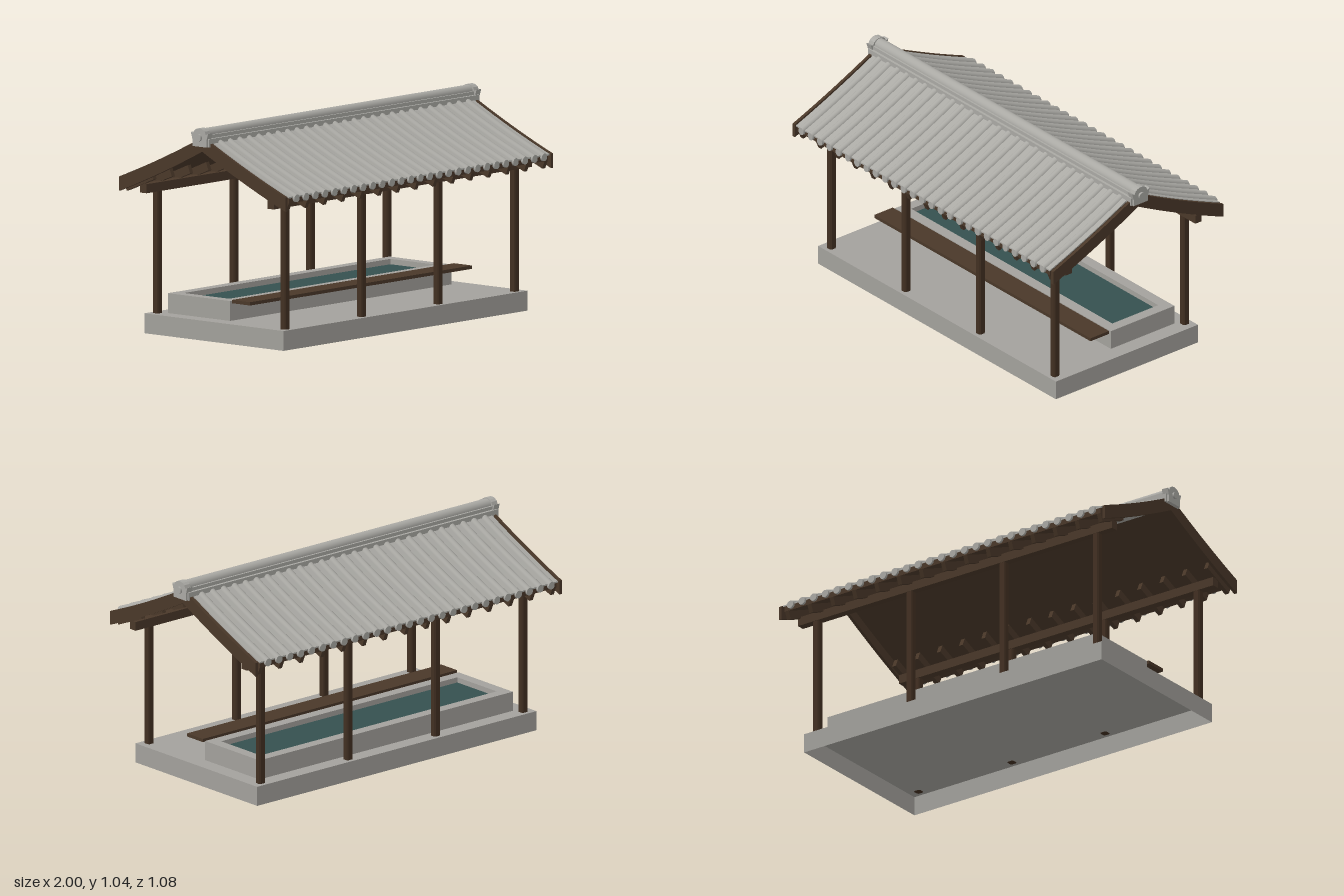
import * as THREE from 'three';

const mat = (name, color, extra = {}) => Object.assign(new THREE.MeshStandardMaterial({ color, ...extra }), { name });

// Height of the gently sagging roof surface at distance z from the ridge
const roofY = (z) => 1.0 - 0.513 * Math.abs(z) + 0.114 * z * z;

export function createModel() {
  const stone = mat('stone', 0xa3a19c, { side: THREE.DoubleSide });
  const tile = mat('roofTile', 0xaaa9a4);
  const wood = mat('wood', 0x4a3829);
  const postWood = mat('postWood', 0x423022);
  const water = mat('water', 0x35504f);

  const model = new THREE.Group();
  model.name = 'washhouse';
  const group = (name, parent = model) => {
    const g = new THREE.Group();
    g.name = name;
    parent.add(g);
    return g;
  };
  const add = (name, geo, material, x = 0, y = 0, z = 0, parent = model) => {
    const m = new THREE.Mesh(geo, material);
    m.name = name;
    m.position.set(x, y, z);
    parent.add(m);
    return m;
  };
  const shapeOf = (pts) => new THREE.Shape(pts.map(([a, b]) => new THREE.Vector2(a, b)));
  // Extrude a [z, y] outline along x, centred on x = 0
  const alongX = (pts, width) =>
    new THREE.ExtrudeGeometry(shapeOf(pts), { depth: width, bevelEnabled: false })
      .rotateY(-Math.PI / 2)
      .translate(width / 2, 0, 0);
  // Gable-shaped outline between two offsets from the roof surface
  const gable = (low, high, reach, n = 12) => {
    const pts = [];
    for (let i = -n; i <= n; i++) pts.push([(i / n) * reach, roofY((i / n) * reach) + low]);
    for (let i = n; i >= -n; i--) pts.push([(i / n) * reach, roofY((i / n) * reach) + high]);
    return pts;
  };

  // Plinth, open underneath
  const plinth = new THREE.BoxGeometry(1.77, 0.096, 0.886);
  const index = Array.from(plinth.index.array);
  index.splice(18, 6);
  plinth.setIndex(index);
  plinth.clearGroups();
  add('plinth', plinth, stone, 0, 0.048, 0);

  // Stone basin with water
  const rect = (w, d, Type) => {
    const s = new Type();
    s.moveTo(-w / 2, -d / 2).lineTo(w / 2, -d / 2).lineTo(w / 2, d / 2).lineTo(-w / 2, d / 2).closePath();
    return s;
  };
  const rim = rect(1.606, 0.396, THREE.Shape);
  rim.holes.push(rect(1.496, 0.286, THREE.Path));
  const basinGeo = new THREE.ExtrudeGeometry(rim, { depth: 0.096, bevelEnabled: false }).rotateX(-Math.PI / 2);
  add('basin', basinGeo, stone, 0, 0.096, -0.167);
  add('waterSurface', new THREE.BoxGeometry(1.496, 0.006, 0.286), water, 0, 0.163, -0.167);

  // Plank in front of the basin
  add('plank', new THREE.BoxGeometry(1.61, 0.016, 0.115), wood, 0, 0.191, 0.102);

  // Chamfered posts and the wall plates they carry
  const h = 0.018, c = 0.012;
  const postGeo = new THREE.ExtrudeGeometry(
    shapeOf([[h, -c], [h, c], [c, h], [-c, h], [-h, c], [-h, -c], [-c, -h], [c, -h]]),
    { depth: 0.6, bevelEnabled: false }
  ).rotateX(-Math.PI / 2);
  const posts = group('posts');
  for (const z of [-0.405, 0.405]) {
    for (const x of [-0.832, -0.277, 0.277, 0.832]) add('post', postGeo, postWood, x, 0.095, z, posts);
    add('wallPlate', new THREE.BoxGeometry(1.87, 0.044, 0.04), wood, 0, 0.709, z);
  }

  // Roof deck, tile bed and barge boards
  const roof = group('roof');
  add('roofDeck', alongX(gable(-0.036, -0.009, 0.525), 1.88), wood, 0, 0, 0, roof);
  add('tileBed', alongX(gable(-0.009, -0.002, 0.53), 1.89), tile, 0, 0, 0, roof);
  for (const x of [-0.962, 0.962])
    add('bargeBoard', alongX(gable(-0.071, -0.002, 0.53), 0.016), wood, x, 0, 0, roof);

  // Half-round tile row following the roof curve
  const r = 0.019, eave = 0.54;
  const rowGeo = new THREE.PlaneGeometry(1, 1, 8, 8);
  const pos = rowGeo.attributes.position;
  for (let i = 0; i < pos.count; i++) {
    const a = Math.PI * (0.5 - pos.getX(i));
    const z = (0.5 - pos.getY(i)) * eave;
    pos.setXYZ(i, r * Math.cos(a), roofY(z) - 0.008 + r * Math.sin(a), z);
  }
  rowGeo.computeVertexNormals();
  const capGeo = new THREE.CylinderGeometry(r, r, 0.012, 16).rotateX(Math.PI / 2);
  const rafterGeo = new THREE.BoxGeometry(0.022, 0.042, 0.185);

  // Both slopes: tile rows, eave caps and rafter tails
  for (const side of ['front', 'back']) {
    const slope = group(side + 'Slope', roof);
    if (side === 'back') slope.rotation.y = Math.PI;
    for (let i = -13; i <= 13; i++) {
      add('tileRow', rowGeo, tile, i * 0.069, 0, 0, slope);
      add('eaveCap', capGeo, tile, i * 0.069, roofY(eave) - 0.008, eave - 0.006, slope);
    }
    for (let i = -7; i <= 7; i++)
      add('rafterTail', rafterGeo, wood, i * 0.1325, 0.743, 0.43, slope).rotation.x = 0.39;
  }

  // Ridge: flat base courses and a rounded top
  add('ridgeBase', alongX([[-0.053, 0.955], [0.053, 0.955], [0.053, 0.995], [-0.053, 0.995]], 1.96), tile, 0, 0, 0, roof);
  add('ridgeCourse', alongX([[-0.04, 0.995], [0.04, 0.995], [0.04, 1.012], [-0.04, 1.012]], 1.96), tile, 0, 0, 0, roof);
  const rollGeo = new THREE.CylinderGeometry(0.031, 0.031, 1.96, 24).rotateZ(Math.PI / 2);
  add('ridgeRoll', rollGeo, tile, 0, 1.01, 0, roof);

  // Ridge end tiles with small horns and a round boss
  const half = [[0.045, 0.955], [0.045, 0.99], [0.055, 1.022], [0.04, 1.016], [0.033, 1.031], [0.02, 1.04], [0.007, 1.044]];
  const endShape = [...half, ...half.map(([z, y]) => [-z, y]).reverse()];
  for (const s of [-1, 1]) {
    add('ridgeEnd', alongX(endShape, 0.034), tile, s * 0.973, 0, 0, roof);
    add('ridgeBoss', new THREE.CylinderGeometry(0.017, 0.017, 0.02, 24).rotateZ(Math.PI / 2), tile, s * 0.99, 0.999, 0, roof);
  }
  return model;
}
